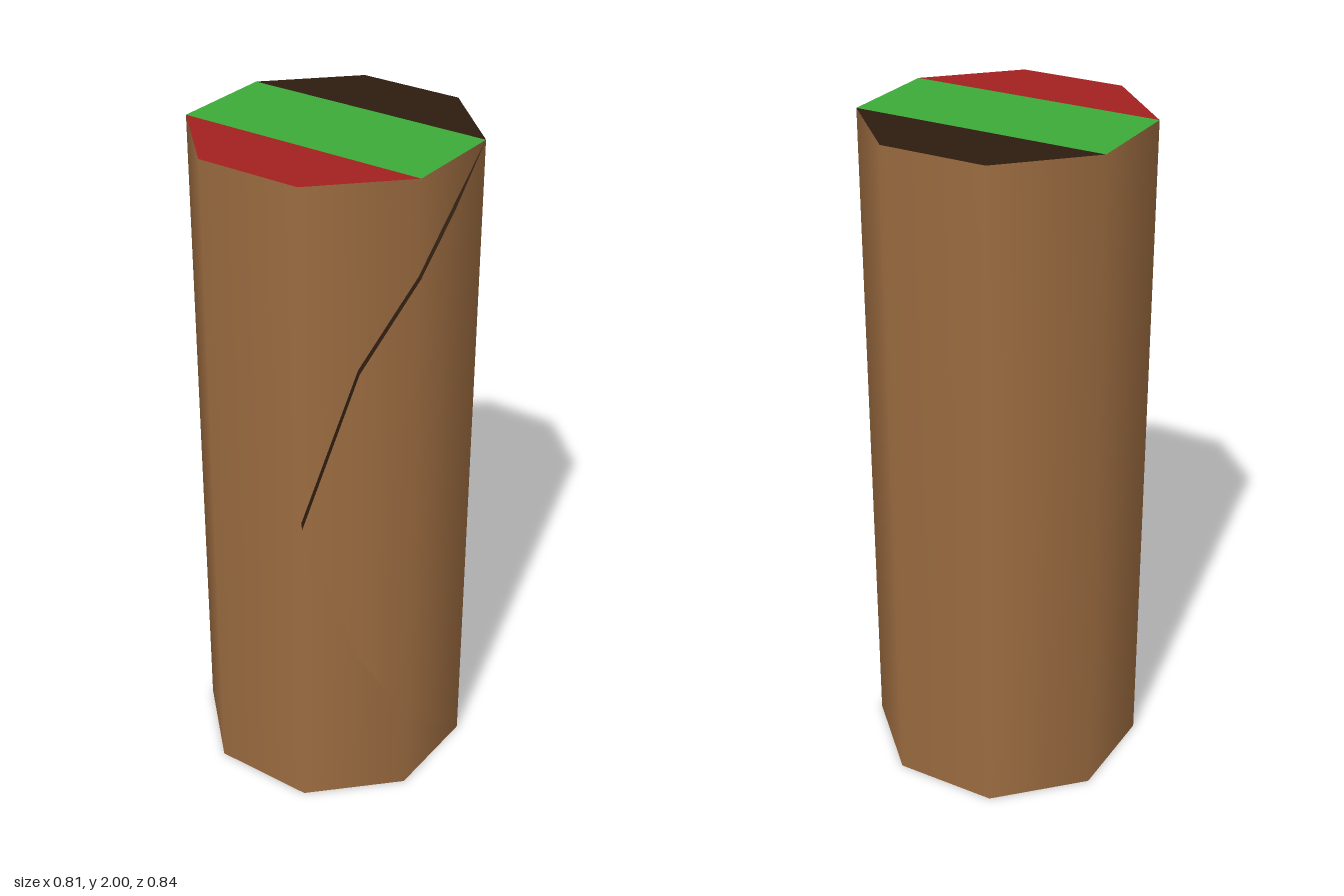
import * as THREE from 'three';

const R = 0.407, H = 2, CZ = -0.016;

const paint = (color) => new THREE.MeshStandardMaterial({ color });

function addMesh(group, name, geometry, material) {
  const mesh = new THREE.Mesh(geometry, material);
  mesh.name = name;
  group.add(mesh);
}

// Corner k of the octagon, counted from the front towards +x
const corner = (k) => [R * Math.sin(k * Math.PI / 4), R * Math.cos(k * Math.PI / 4)];

// One coloured stripe of an end face, cut between octagon corners
function stripe(corners, up) {
  const points = corners.map((k) => {
    const [x, z] = corner(k);
    return new THREE.Vector2(x, up ? -z : z);
  });
  const geometry = new THREE.ShapeGeometry(new THREE.Shape(points));
  geometry.rotateX(up ? -Math.PI / 2 : Math.PI / 2);
  return geometry.translate(0, up ? H : 0, CZ);
}

// Geometry from a list of four-cornered faces
function quads(list) {
  const pos = list.flatMap(([a, b, c, d]) => [a, b, c, a, c, d].flat());
  const geometry = new THREE.BufferGeometry();
  geometry.setAttribute('position', new THREE.Float32BufferAttribute(pos, 3));
  geometry.computeVertexNormals();
  return geometry;
}

export function createModel() {
  const group = new THREE.Group();
  group.name = 'wrappedRoll';
  const wrapMaterial = paint(0x9b6b40);
  const darkMaterial = paint(0x2e1c0f);

  // Octagonal wrapped body
  const body = new THREE.CylinderGeometry(R, R, H, 8, 1, true).translate(0, H / 2, CZ);
  addMesh(group, 'body', body, wrapMaterial);

  // Three filling stripes on both ends
  const fillings = [
    ['darkFilling', [2, 3, 4, 5], darkMaterial],
    ['greenFilling', [5, 6, 1, 2], paint(0x3cab37)],
    ['redFilling', [6, 7, 0, 1], paint(0xa32020)],
  ];
  for (const [name, corners, material] of fillings) {
    addMesh(group, name + 'Top', stripe(corners, true), material);
    addMesh(group, name + 'Bottom', stripe(corners, false), material);
  }

  // Pointed wrap flap: outer x, z, inner x, z and half height of each column
  const columns = [
    [0.01, 0.42, 0, 0.391, 0],
    [0.153, 0.354, 0.144, 0.331, 0.47],
    [0.297, 0.285, 0.288, 0.272, 0.73],
    [0.357, 0.14, 0.347, 0.128, 0.865],
    [0.407, -0.016, 0.407, -0.016, 1],
  ];
  const outer = (c, s) => [c[0], H / 2 + s * c[4], c[1]];
  const inner = (c, s) => [c[2], H / 2 + s * c[4], c[3]];
  const sheet = [], rim = [];
  for (let i = 0; i < columns.length - 1; i++) {
    const a = columns[i], b = columns[i + 1];
    sheet.push([outer(a, -1), outer(b, -1), outer(b, 1), outer(a, 1)]);
    rim.push([outer(a, 1), outer(b, 1), inner(b, 1), inner(a, 1)]);
    rim.push([inner(a, -1), inner(b, -1), outer(b, -1), outer(a, -1)]);
  }

  // Rounded shading on the flap, matching the body
  const flap = quads(sheet);
  const p = flap.attributes.position, n = new THREE.Vector3();
  for (let i = 0; i < p.count; i++) {
    n.set(p.getX(i), 0, p.getZ(i) - CZ).normalize();
    flap.attributes.normal.setXYZ(i, n.x, n.y, n.z);
  }
  addMesh(group, 'wrapFlap', flap, wrapMaterial);
  addMesh(group, 'wrapFlapEdge', quads(rim), darkMaterial);

  return group;
}
